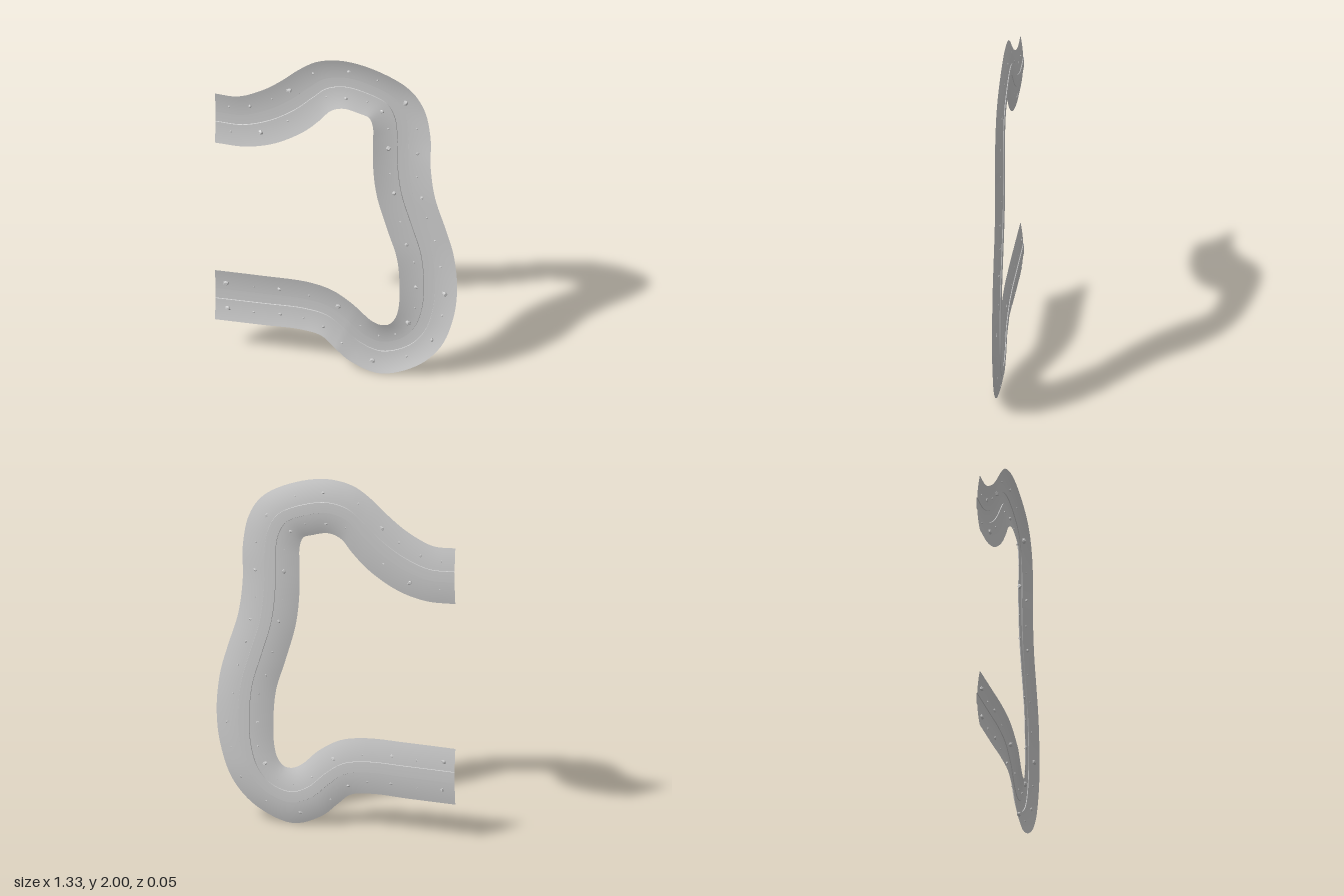
import * as THREE from 'three';
import { toCreasedNormals } from 'three/addons/utils/BufferGeometryUtils.js';

// Stations along the track: outer rim x, y, inner rim x, y
const RIMS_A = [
  [-.665, 1.68, -.665, 1.36], [-.54, 1.68, -.50, 1.36], [-.40, 1.745, -.34, 1.405], [-.30, 1.82, -.18, 1.505],
  [-.20, 1.91, -.09, 1.595], [-.10, 1.975, -.03, 1.665], [.04, 2.0, .04, 1.69], [.22, 1.965, .13, 1.67],
  [.40, 1.87, .18, 1.65], [.48, 1.75, .2, 1.59], [.515, 1.57, .20, 1.50], [.515, 1.38, .20, 1.34],
  [.54, 1.18, .22, 1.15],
];
const RIMS_B = [
  [.60, .98, .28, .93], [.64, .83, .33, .76], [.66, .62, .345, .58], [.64, .42, .34, .44],
  [.57, .22, .32, .365], [.44, .08, .285, .325], [.24, .003, .24, .32], [.08, .06, .19, .345],
  [-.01, .14, .10, .43], [-.08, .20, -.02, .505], [-.20, .22, -.16, .535], [-.40, .215, -.40, .535],
  [-.665, .21, -.665, .53],
];
// Height of the valley floor and rise of its rims, along the track
const FLOOR = [-.01, -.011, -.015, -.02, -.024, -.026, -.026, -.025, -.022, -.014, -.004, -.008, -.01];
const RISE = [.015, .017, .02, .026, .029, .029, .028, .027, .027, .027, .026, .018, .015];

// Rocks: x, y, size class
const ROCKS_OUTER = [
  [-.59, 1.6, 0], [-.475, 1.62, 1], [-.355, 1.685, 0], [-.26, 1.755, 2], [-.13, 1.885, 0], [.065, 1.925, 1],
  [.22, 1.89, 0], [.375, 1.765, 2], [.435, 1.605, 0], [.44, 1.445, 1], [.435, 1.29, 0], [.465, 1.16, 1],
  [.49, 1.03, 0], [.535, .89, 0], [.565, .725, 0], [.59, .56, 2], [.575, .415, 0], [.52, .25, 1],
  [.38, .12, 0], [.195, .075, 2], [.03, .165, 0], [-.07, .255, 1], [-.18, .29, 0], [-.31, .295, 1],
  [-.455, .285, 0], [-.595, .29, 2],
];
const ROCKS_INNER = [
  [-.58, 1.44, 0], [-.415, 1.46, 2], [-.27, 1.555, 0], [-.06, 1.74, 0], [.05, 1.75, 1], [.165, 1.74, 0],
  [.245, 1.69, 1], [.28, 1.58, 0], [.28, 1.455, 2], [.29, 1.29, 0], [.31, 1.165, 1], [.345, .985, 0],
  [.38, .845, 1], [.42, .735, 0], [.43, .575, 1], [.425, .435, 0], [.39, .34, 2], [.32, .255, 0],
  [.23, .235, 0], [.13, .285, 0], [.01, .4, 2], [-.15, .44, 0], [-.315, .455, 1], [-.455, .445, 0],
  [-.605, .45, 2],
];

const rims = [...RIMS_A, ...RIMS_B];
const outer = new THREE.CatmullRomCurve3(rims.map(r => new THREE.Vector3(r[0], r[1], 0)));
const inner = new THREE.CatmullRomCurve3(rims.map(r => new THREE.Vector3(r[2], r[3], 0)));
const STEPS = 150;

function along(table, u) {
  const f = u * (table.length - 1), i = Math.min(Math.floor(f), table.length - 2);
  return THREE.MathUtils.lerp(table[i], table[i + 1], f - i);
}

// Point on the valley: u along the track, t across it (-1 outer rim, 1 inner rim)
function valley(u, t, dz = 0) {
  const p = outer.getPoint(u).lerp(inner.getPoint(u), (t + 1) / 2);
  p.z = along(FLOOR, u) + along(RISE, u) * t * t + dz;
  return p;
}

// Sweeps a cross-section of [t, dz] pairs along the track
function sweep(section) {
  const pos = [], index = [], n = section.length;
  for (let i = 0; i <= STEPS; i++) {
    for (const [t, dz] of section) pos.push(...valley(i / STEPS, t, dz).toArray());
  }
  for (let i = 0; i < STEPS; i++) {
    for (let j = 0; j < n - 1; j++) {
      const a = i * n + j, b = a + 1, c = a + n, d = c + 1;
      index.push(a, b, c, b, d, c);
    }
  }
  const g = new THREE.BufferGeometry();
  g.setAttribute('position', new THREE.Float32BufferAttribute(pos, 3));
  g.setIndex(index);
  return toCreasedNormals(g, 0.6);
}

function seeded(seed) {
  return () => (seed = (seed * 16807) % 2147483647) / 2147483647;
}

// Irregular low-poly stone
function rockGeometry(rand) {
  const g = new THREE.IcosahedronGeometry(1, 0), p = g.attributes.position, scale = new Map();
  for (let i = 0; i < p.count; i++) {
    const key = [p.getX(i), p.getY(i), p.getZ(i)].map(v => v.toFixed(2)).join();
    if (!scale.has(key)) scale.set(key, 0.75 + 0.4 * rand());
    const s = scale.get(key);
    p.setXYZ(i, p.getX(i) * s, p.getY(i) * s, p.getZ(i) * s);
  }
  g.computeVertexNormals();
  return g;
}

export function createModel() {
  const group = new THREE.Group();
  const ground = new THREE.MeshStandardMaterial({ color: 0xcccccc, side: THREE.DoubleSide });
  const stone = new THREE.MeshStandardMaterial({ color: 0xcccccc, flatShading: true });
  const add = (name, geometry, material) => {
    const mesh = new THREE.Mesh(geometry, material);
    mesh.name = name;
    group.add(mesh);
    return mesh;
  };

  // Sloping banks on both sides of the sunken path
  const EDGE = 0.2, DEPTH = -0.004;
  const bank = [1, .9, .8, .7, .6, .5, .4, .3, EDGE];
  add('outerBank', sweep(bank.map(t => [-t, 0])), ground);
  add('innerBank', sweep([...bank].reverse().map(t => [t, 0])), ground);

  // Path bed with its two low side walls
  add('path', sweep([[-EDGE, 0], [-EDGE + .01, DEPTH], [0, DEPTH], [EDGE - .01, DEPTH], [EDGE, 0]]), ground);

  // Rocks resting on the banks
  const samples = [];
  for (let i = 0; i <= STEPS; i++) {
    for (let j = -10; j <= 10; j++) samples.push(valley(i / STEPS, j / 10));
  }
  const rand = seeded(17);
  const shapes = [0, 1, 2, 3].map(() => rockGeometry(rand));
  [...ROCKS_OUTER, ...ROCKS_INNER].forEach(([x, y, size], k) => {
    let near = samples[0], best = Infinity;
    for (const s of samples) {
      const d = (s.x - x) ** 2 + (s.y - y) ** 2;
      if (d < best) { best = d; near = s; }
    }
    const r = [.007, .012, .017][size];
    const rock = add('rock', shapes[k % shapes.length], stone);
    rock.position.set(x, y, near.z + r * 0.3);
    rock.scale.set(r, r * 0.9, r * 0.7);
    rock.rotation.z = rand() * Math.PI * 2;
  });
  return group;
}
